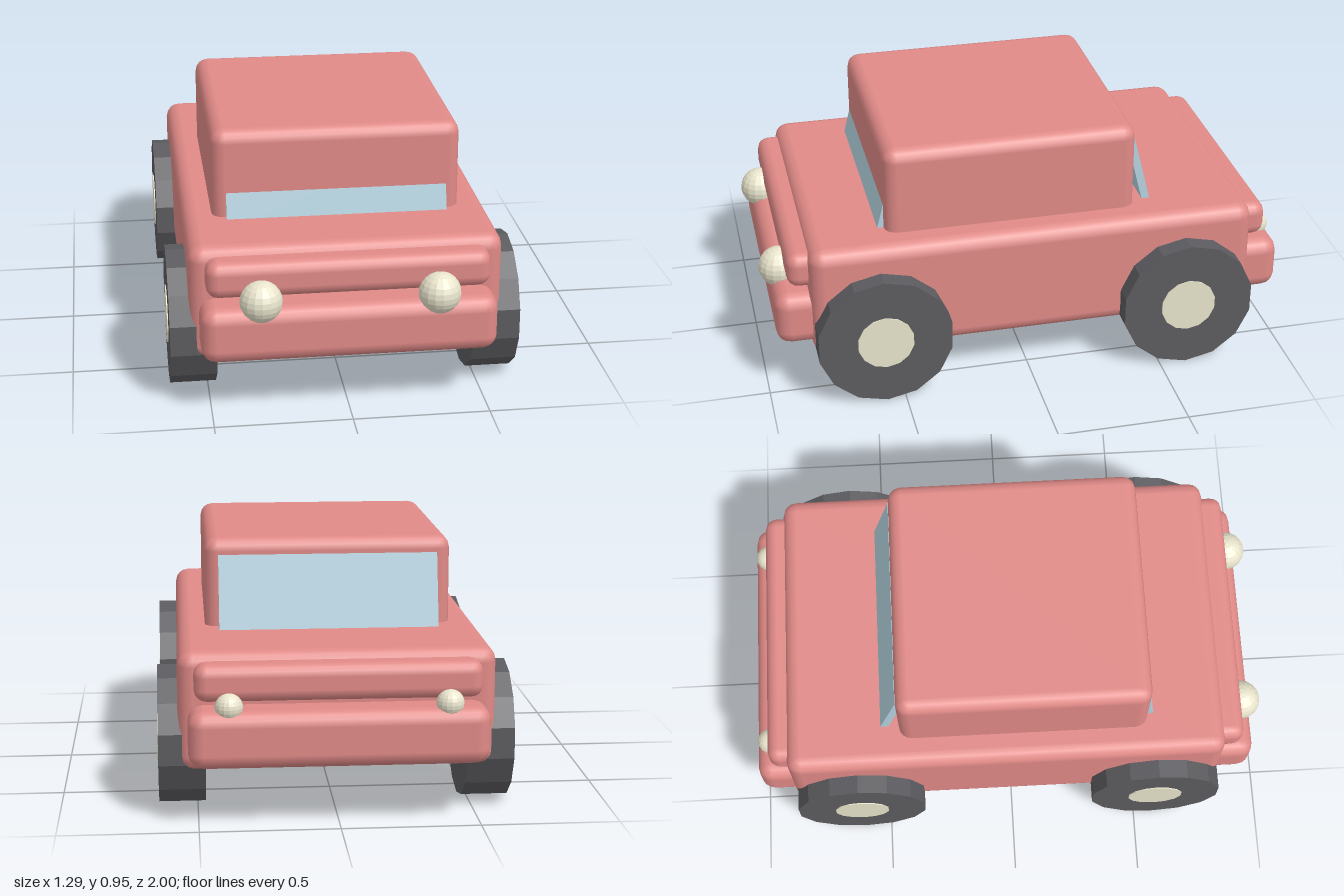
import * as THREE from 'three';
import { RoundedBoxGeometry } from 'three/addons/geometries/RoundedBoxGeometry.js';

const material = (color, flatShading = false) => new THREE.MeshStandardMaterial({ color, flatShading });

export function createModel() {
  const car = new THREE.Group();
  car.name = 'car';
  const paint = material(0xe08a87);
  const glass = material(0xb5d3e0);
  const rubber = material(0x5c5c60, true);
  const cream = material(0xe8e4cc, true);

  function add(name, geometry, mat, x, y, z) {
    const mesh = new THREE.Mesh(geometry, mat);
    mesh.name = name;
    mesh.position.set(x, y, z);
    car.add(mesh);
    return mesh;
  }

  // Soft-edged block given by half width and its y and z limits
  function block(name, halfWidth, y0, y1, z0, z1, radius) {
    const geometry = new RoundedBoxGeometry(2 * halfWidth, y1 - y0, z1 - z0, 2, radius);
    add(name, geometry, paint, 0, (y0 + y1) / 2, (z0 + z1) / 2);
  }

  // Body and cabin
  block('body', 0.57, 0.17, 0.608, -0.87, 0.83, 0.055);
  block('cabin', 0.462, 0.4, 0.94, -0.43, 0.53, 0.05);

  // Bumpers and the panels above them
  block('frontBumper', 0.535, 0.21, 0.42, 0.6, 0.96, 0.055);
  block('rearBumper', 0.535, 0.21, 0.42, -1, -0.64, 0.055);
  block('frontPanel', 0.512, 0.44, 0.577, 0.6, 0.908, 0.045);
  block('rearPanel', 0.512, 0.44, 0.577, -0.945, -0.64, 0.045);

  // Sloping windows, the front one mostly sunk into the cabin
  const pane = new THREE.BoxGeometry(0.82, 0.32, 0.03);
  add('windscreen', pane, glass, 0, 0.72, 0.51).rotation.x = -0.25;
  add('rearWindow', pane, glass, 0, 0.72, -0.457).rotation.x = 0.25;

  // Wheels with hubs running through, and lamps, on both sides
  const tyre = new THREE.CylinderGeometry(0.2565, 0.2565, 0.17, 14).rotateZ(Math.PI / 2);
  const hub = new THREE.CylinderGeometry(0.107, 0.107, 0.178, 14).rotateZ(Math.PI / 2);
  // Turn the polygons so that a flat rests on the ground
  for (const g of [tyre, hub]) g.rotateX(Math.PI / 2);
  const headlamp = new THREE.SphereGeometry(0.077, 16, 12);
  const tailLamp = new THREE.SphereGeometry(0.05, 16, 12);

  for (const [side, s] of [['left', 1], ['right', -1]]) {
    for (const [end, z] of [['Front', 0.57], ['Rear', -0.602]]) {
      add(`${side}${end}Wheel`, tyre, rubber, s * 0.556, 0.25, z);
      add(`${side}${end}Hub`, hub, cream, s * 0.556, 0.25, z);
    }
    add(`${side}Headlamp`, headlamp, cream, s * 0.32, 0.44, 0.92);
    add(`${side}TailLamp`, tailLamp, cream, s * 0.39, 0.43, -0.945);
  }

  return car;
}
